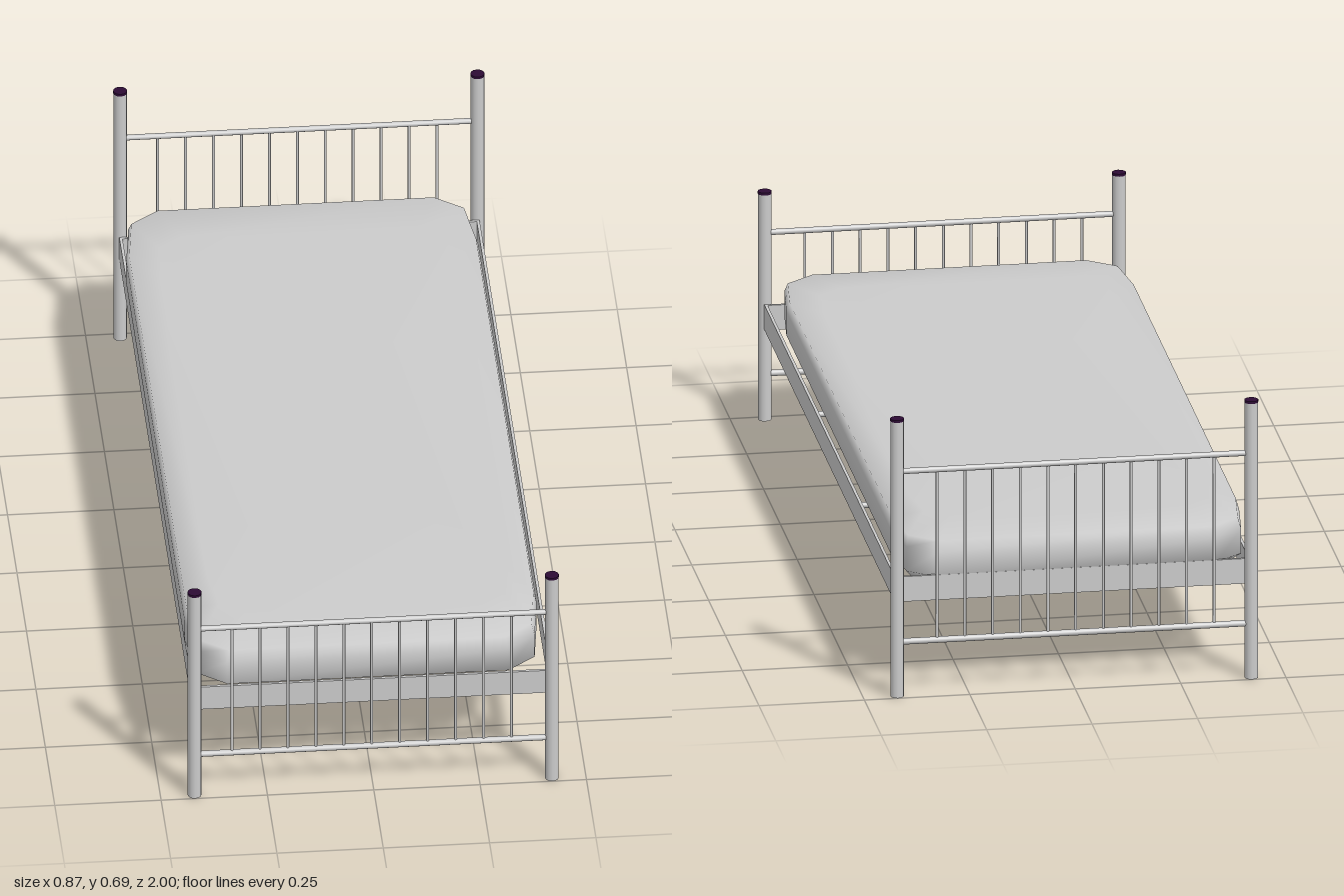
import * as THREE from 'three';

const grey = new THREE.MeshStandardMaterial({ color: 0xcccccc });
const capColour = new THREE.MeshStandardMaterial({ color: 0x2c0a34 });

const POST_X = 0.42, END_Z = 0.984;

function add(parent, name, geometry, x, y, z, material = grey) {
  const mesh = new THREE.Mesh(geometry, material);
  mesh.name = name;
  mesh.position.set(x, y, z);
  parent.add(mesh);
  return mesh;
}

// Horizontal tube running across the bed
function crossTube(parent, name, radius, length, y, z) {
  const tube = add(parent, name, new THREE.CylinderGeometry(radius, radius, length, 10), 0, y, z);
  tube.rotation.z = Math.PI / 2;
}

// Headboard or footboard: two capped posts, two rails and eleven bars
function createBedEnd(name, z, postHeight, topRail, lowRail) {
  const end = new THREE.Group();
  end.name = name;
  const capHeight = 0.006;
  for (const side of [-1, 1]) {
    const h = postHeight - capHeight;
    add(end, 'post', new THREE.CylinderGeometry(0.016, 0.016, h, 12), side * POST_X, h / 2, z);
    add(end, 'postCap', new THREE.CylinderGeometry(0.0165, 0.0165, capHeight, 12),
      side * POST_X, postHeight - capHeight / 2, z, capColour);
  }
  crossTube(end, 'topRail', 0.007, 2 * POST_X, topRail, z);
  crossTube(end, 'lowerRail', 0.0075, 2 * POST_X, lowRail, z);
  for (let i = 0; i < 11; i++) {
    add(end, 'bar', new THREE.CylinderGeometry(0.0035, 0.0035, topRail - lowRail, 8),
      -0.332 + i * 0.0657, (topRail + lowRail) / 2, z);
  }
  return end;
}

// Thin upright plates round the bed, with two slats between them
function createFrame() {
  const frame = new THREE.Group();
  frame.name = 'frame';
  const y = 0.259, height = 0.062, thick = 0.007;
  for (const side of [-1, 1]) {
    add(frame, 'sidePlate', new THREE.BoxGeometry(thick, height, 1.938), side * POST_X, y, 0);
    add(frame, 'endPlate', new THREE.BoxGeometry(2 * POST_X, height, thick), 0, y, side * 0.965);
    crossTube(frame, 'slat', 0.007, 2 * POST_X, 0.242, side * 0.323);
  }
  return frame;
}

// Mattress: one rounded outline stacked at several heights
function createMattress(parent) {
  const corner = [[0.414, 0.77], [0.397, 0.908], [0.33, 0.96]];
  const mirror = (pts, sx, sz) => pts.map(([x, z]) => [x * sx, z * sz]);
  const back = [...corner].reverse();
  const outline = [
    ...corner, ...mirror(back, -1, 1), ...mirror(corner, -1, -1), ...mirror(back, 1, -1),
  ];
  // [height, outline scale]
  const layers = [[0.252, 0.86], [0.26, 0.96], [0.285, 1], [0.345, 1], [0.369, 0.985], [0.38, 0.84]];
  const n = outline.length, positions = [], index = [];
  for (const [y, s] of layers) for (const [x, z] of outline) positions.push(x * s, y, z * s);
  for (let r = 0; r < layers.length - 1; r++) {
    for (let i = 0; i < n; i++) {
      const a = r * n + i, b = r * n + (i + 1) % n;
      index.push(a, a + n, b, b, a + n, b + n);
    }
  }
  // Closed bottom and top
  const bottom = positions.length / 3, top = bottom + 1, last = (layers.length - 1) * n;
  positions.push(0, layers[0][0], 0, 0, layers[layers.length - 1][0], 0);
  for (let i = 0; i < n; i++) {
    const j = (i + 1) % n;
    index.push(bottom, i, j, top, last + j, last + i);
  }
  const geometry = new THREE.BufferGeometry();
  geometry.setAttribute('position', new THREE.Float32BufferAttribute(positions, 3));
  geometry.setIndex(index);
  geometry.computeVertexNormals();
  add(parent, 'mattress', geometry, -0.01, 0, -0.008);
}

export function createModel() {
  const bed = new THREE.Group();
  bed.name = 'bed';
  bed.add(createBedEnd('headboard', -END_Z, 0.69, 0.558, 0.135));
  bed.add(createBedEnd('footboard', END_Z, 0.567, 0.464, 0.114));
  bed.add(createFrame());
  createMattress(bed);
  return bed;
}
